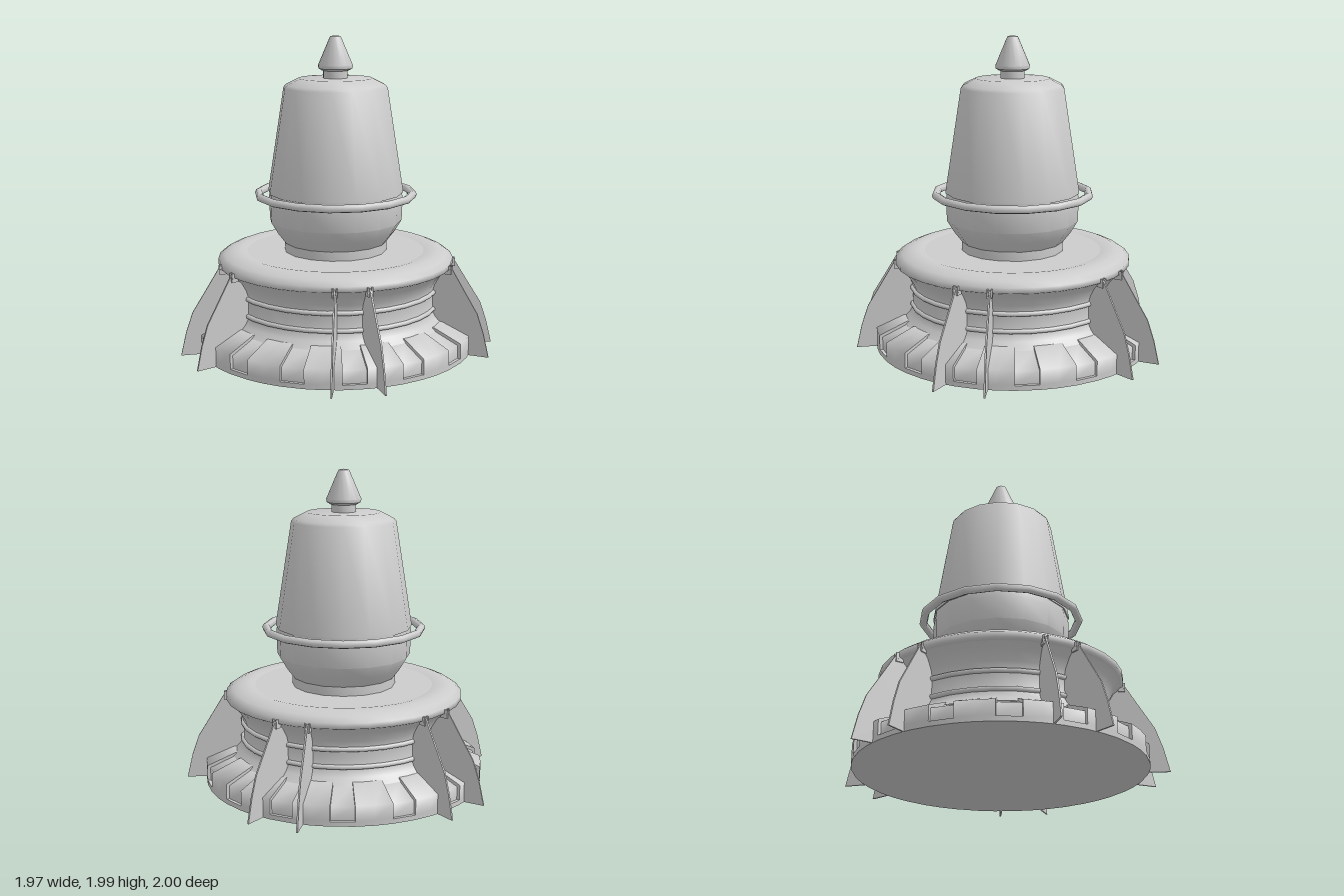
import * as THREE from 'three';
import { toCreasedNormals } from 'three/addons/utils/BufferGeometryUtils.js';

const grey = new THREE.MeshStandardMaterial({ color: 0xcccccc, side: THREE.DoubleSide });
const rad = THREE.MathUtils.degToRad;

function add(parent, name, geometry) {
  const mesh = new THREE.Mesh(geometry, grey);
  mesh.name = name;
  parent.add(mesh);
  return mesh;
}

// Turned part from a profile of [radius, height], listed from bottom to top
function lathe(parent, name, profile, segments, crease = 0.6) {
  const points = profile.map(([r, y]) => new THREE.Vector2(r, y));
  return add(parent, name, toCreasedNormals(new THREE.LatheGeometry(points, segments), crease));
}

function hoop(parent, name, radius, tube, y, segments) {
  const geometry = new THREE.TorusGeometry(radius, tube, 8, segments);
  geometry.rotateX(Math.PI / 2);
  geometry.translate(0, y, 0);
  return add(parent, name, geometry);
}

// Base ring: a turned profile that alternates between raised lugs and shallow notches
function baseGeometry() {
  const raised = [[0, 0], [0.89, 0], [0.89, 0.03], [0.89, 0.035], [0.89, 0.125], [0.71, 0.2], [0.64, 0.2]];
  const notched = [[0, 0], [0.89, 0], [0.89, 0.03], [0.87, 0.03], [0.87, 0.112], [0.71, 0.18], [0.64, 0.18]];
  const count = 15, half = 4.7, step = 360 / count;
  const columns = [];
  for (let i = 0; i <= count; i++) {
    const a = 180 + i * step;
    columns.push([a - half, raised], [a - half, notched], [a + half, notched], [a + half, raised], [a + step / 2, raised]);
  }
  const positions = [], index = [], n = raised.length;
  columns.forEach(([deg, profile], c) => {
    for (const [r, y] of profile) positions.push(r * Math.sin(rad(deg)), y, r * Math.cos(rad(deg)));
    if (c >= columns.length - 5) return;
    for (let j = 0; j < n - 1; j++) {
      const a = c * n + j, b = a + n;
      index.push(a, b, b + 1, a, b + 1, a + 1);
    }
  });
  const geometry = new THREE.BufferGeometry();
  geometry.setAttribute('position', new THREE.Float32BufferAttribute(positions, 3));
  geometry.setIndex(index);
  return toCreasedNormals(geometry, 1.25);
}

// Thin leg fin; x runs outward from its clip, the inner edge sinks into the waist and base
function finGeometry() {
  const outline = [[-0.015, 0.565], [0.01, 0.56], [0.1, 0.413], [0.185, 0.276], [0.228, 0.15], [0.263, 0],
    [0.08, 0], [0.03, 0.12], [-0.05, 0.19], [-0.11, 0.25], [-0.11, 0.42], [-0.06, 0.5], [-0.03, 0.54]];
  const shape = new THREE.Shape(outline.map(([x, y]) => new THREE.Vector2(x, y)));
  const geometry = new THREE.ExtrudeGeometry(shape, { depth: 0.01, bevelEnabled: false });
  geometry.translate(0, 0, -0.005);
  return geometry;
}

export function createModel() {
  const model = new THREE.Group();
  model.name = 'finnedBeacon';
  const core = new THREE.Group();
  core.name = 'core';
  core.position.set(-0.035, 0, -0.018);
  model.add(core);

  // Base and waist, flaring into the base below and the collar above
  add(core, 'notchedBase', baseGeometry());
  lathe(core, 'waist', [[0.72, 0.18], [0.675, 0.22], [0.65, 0.26], [0.65, 0.4], [0.662, 0.44],
    [0.695, 0.495], [0.735, 0.535]], 32);
  for (const y of [0.277, 0.387]) hoop(core, 'waistBand', 0.653, 0.015, y, 32);

  // Wide collar with a flat deck
  lathe(core, 'collar', [[0.65, 0.535], [0.735, 0.535], [0.755, 0.545], [0.755, 0.58], [0.715, 0.608],
    [0.665, 0.628], [0.61, 0.63], [0.57, 0.622]], 32, 1.2);
  lathe(core, 'deck', [[0.57, 0.622], [0, 0.622]], 32);

  // Bowl, guard ring and tapered housing
  lathe(core, 'bowl', [[0.33, 0.61], [0.33, 0.68], [0.38, 0.745], [0.425, 0.82], [0.43, 0.96],
    [0.425, 1.0], [0.3, 1.0]], 16);
  hoop(core, 'guardRing', 0.495, 0.025, 0.987, 16);
  lathe(core, 'housing', [[0.3, 1.0], [0.432, 1.0], [0.432, 1.015], [0.33, 1.665], [0.315, 1.685],
    [0.235, 1.725], [0, 1.725]], 16);

  // Finial
  lathe(core, 'finialNeck', [[0.077, 1.71], [0.077, 1.78]], 16);
  lathe(core, 'finialCone', [[0, 1.772], [0.085, 1.772], [0.107, 1.785], [0.11, 1.805], [0.042, 1.965],
    [0.032, 1.985], [0, 1.99]], 16);

  // Five pairs of splayed fins with clips under the collar
  const fin = finGeometry();
  const plate = new THREE.BoxGeometry(0.045, 0.055, 0.009);
  const pin = new THREE.CylinderGeometry(0.01, 0.01, 0.036, 8).rotateX(Math.PI / 2);
  for (let i = 0; i < 5; i++) {
    const pair = new THREE.Group();
    pair.name = 'finPair';
    pair.rotation.y = rad(-5.8 + i * 72);
    core.add(pair);
    for (const s of [-1, 1]) {
      const leg = new THREE.Group();
      leg.name = 'finLeg';
      leg.position.set(0.748, 0, -s * 0.104);
      leg.rotation.y = s * rad(12);
      pair.add(leg);
      add(leg, 'fin', fin);
      for (const side of [-1, 1]) add(leg, 'clipPlate', plate).position.set(-0.008, 0.543, side * 0.0125);
      add(leg, 'clipPin', pin).position.set(0, 0.54, 0);
    }
  }
  return model;
}
